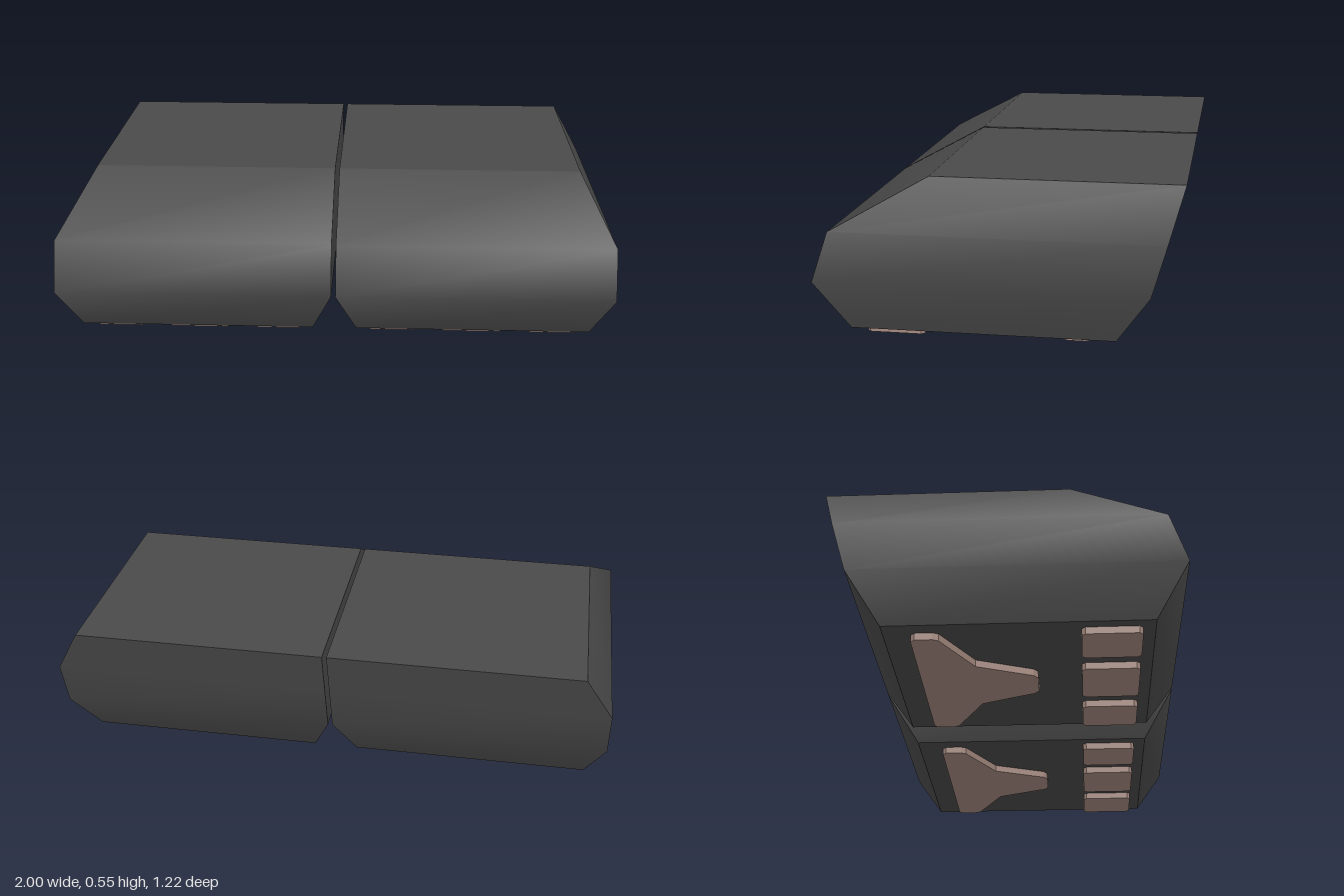
import * as THREE from 'three';

const bodyMaterial = new THREE.MeshStandardMaterial({ color: 0x4a4a4a });
const padMaterial = new THREE.MeshStandardMaterial({ color: 0xa58a80 });

// Foot levels, bottom to top: y, inner x, outer x, back z, front z
const LEVELS = [
  [0.025, 0.08, 0.93, -0.395, 0.5],
  [0.2, 0.008, 1.0, -0.51, 0.61],
  [0.375, 0.008, 1.0, -0.56, 0.55],
  [0.55, 0.008, 0.9, -0.61, 0.23],
];
const PAD_HEIGHT = 0.026;
const FOOT_CENTRE = 0.505;

// Block with four walls, each smooth up its height, and hard edges between faces
function bodyGeometry(side) {
  const positions = [];
  const indices = [];
  const rings = LEVELS.map(([y, inner, outer, back, front]) => {
    const [x0, x1] = side > 0 ? [inner, outer] : [-outer, -inner];
    return [[x0, y, front], [x1, y, front], [x1, y, back], [x0, y, back]];
  });
  const addStrip = (pairs) => {
    const start = positions.length / 3;
    pairs.forEach(([a, b]) => positions.push(...a, ...b));
    for (let i = 0; i < pairs.length - 1; i++) {
      const k = start + i * 2;
      indices.push(k, k + 1, k + 3, k, k + 3, k + 2);
    }
  };
  for (let c = 0; c < 4; c++) addStrip(rings.map((r) => [r[c], r[(c + 1) % 4]]));
  const top = rings[rings.length - 1];
  const bottom = rings[0];
  addStrip([[top[0], top[1]], [top[3], top[2]]]);
  addStrip([[bottom[3], bottom[2]], [bottom[0], bottom[1]]]);

  const geometry = new THREE.BufferGeometry();
  geometry.setAttribute('position', new THREE.Float32BufferAttribute(positions, 3));
  geometry.setIndex(indices);
  geometry.computeVertexNormals();
  return geometry;
}

// Flat pad from an outline of [x, z] points, standing on y = 0
function makePad(name, outline) {
  const shape = new THREE.Shape(outline.map(([x, z]) => new THREE.Vector2(x, -z)));
  const geometry = new THREE.ExtrudeGeometry(shape, { depth: PAD_HEIGHT, bevelEnabled: false });
  geometry.rotateX(-Math.PI / 2);
  const pad = new THREE.Mesh(geometry, padMaterial);
  pad.name = name;
  return pad;
}

// Toe pad outline: rectangle with tiny cut corners
function toeOutline(halfWidth) {
  const w = halfWidth, f = 0.458, b = 0.258, c = 0.012;
  return [
    [-w + c, f], [w - c, f], [w, f - c], [w, b + c],
    [w - c, b], [-w + c, b], [-w, b + c], [-w, f - c],
  ];
}

// Heel pad: right half of the outline, front to back, then mirrored
const HEEL_HALF = [[0.055, 0.105], [0.075, 0.09], [0.158, -0.105], [0.36, -0.21], [0.37, -0.23], [0.37, -0.29], [0.355, -0.303]];
const HEEL = [...HEEL_HALF, ...HEEL_HALF.map(([x, z]) => [-x, z]).reverse()];

function makeFoot(name, side) {
  const foot = new THREE.Group();
  foot.name = name;
  const body = new THREE.Mesh(bodyGeometry(side), bodyMaterial);
  body.name = 'footBody';
  foot.add(body);

  const pads = new THREE.Group();
  pads.name = 'pads';
  pads.position.x = side * FOOT_CENTRE;
  pads.add(makePad('heelPad', HEEL));
  [[-0.295, 0.09], [0, 0.117], [0.295, 0.09]].forEach(([x, halfWidth]) => {
    const toe = makePad('toePad', toeOutline(halfWidth));
    toe.position.x = x;
    pads.add(toe);
  });
  foot.add(pads);
  return foot;
}

export function createModel() {
  const model = new THREE.Group();
  model.name = 'pawFeet';
  model.add(makeFoot('leftFoot', 1), makeFoot('rightFoot', -1));
  return model;
}
